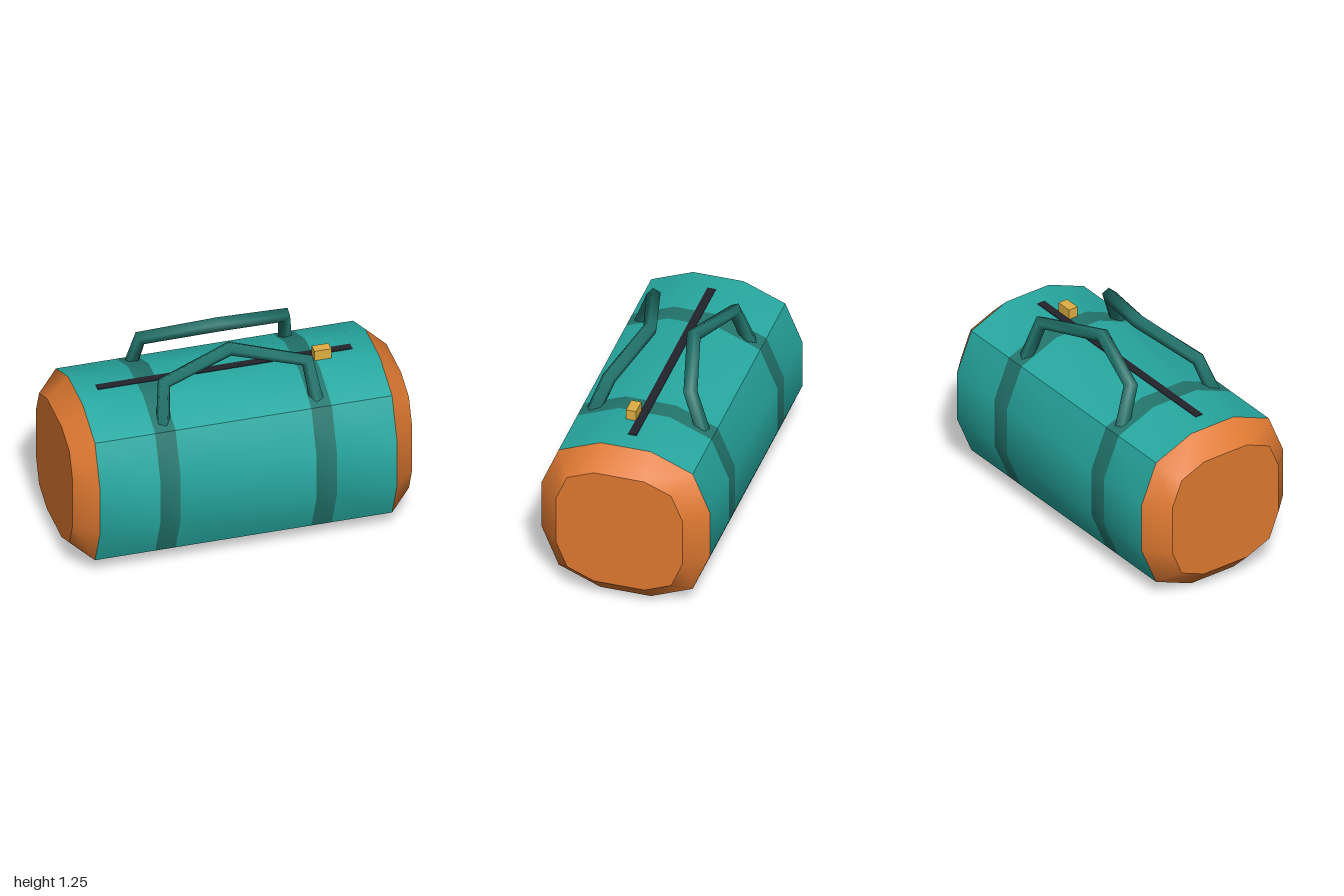
import * as THREE from 'three';
import { toCreasedNormals } from 'three/addons/utils/BufferGeometryUtils.js';

const material = (name, color) => {
  const m = new THREE.MeshStandardMaterial({ color });
  m.name = name;
  return m;
};

// Rounded square cross-section, three points on each corner
function section(x, half) {
  const points = [], core = 0.15, r = half - core;
  for (let k = 0; k < 4; k++) {
    const sy = k === 0 || k === 3 ? 1 : -1;
    const sz = k < 2 ? 1 : -1;
    for (let j = 0; j < 3; j++) {
      const a = (k + j / 2) * Math.PI / 2;
      points.push([x, 0.5 + sy * core + r * Math.cos(a), sz * core + r * Math.sin(a)]);
    }
  }
  return points;
}

// Skin between two cross-sections, optionally closed at the far end
function loft(x0, half0, x1, half1, closed = false) {
  const a = section(x0, half0), b = section(x1, half1), pos = [];
  for (let i = 0; i < a.length; i++) {
    const n = (i + 1) % a.length;
    pos.push(...a[i], ...a[n], ...b[n], ...a[i], ...b[n], ...b[i]);
    if (closed) pos.push(x1, 0.5, 0, ...b[i], ...b[n]);
  }
  const g = new THREE.BufferGeometry();
  g.setAttribute('position', new THREE.Float32BufferAttribute(pos, 3));
  return toCreasedNormals(g, THREE.MathUtils.degToRad(35));
}

export function createModel() {
  const bag = new THREE.Group();
  bag.name = 'duffelBag';
  const fabric = material('teal fabric', 0x27a9a1);
  const webbing = material('dark teal webbing', 0x23766e);
  const leather = material('orange end panel', 0xe07a32);
  const zip = material('dark zipper', 0x23232d);
  const brass = material('brass', 0xe0af43);

  const add = (name, geometry, mat, x = 0, y = 0, z = 0) => {
    const mesh = new THREE.Mesh(geometry, mat);
    mesh.name = name;
    mesh.position.set(x, y, z);
    bag.add(mesh);
    return mesh;
  };

  // Barrel, split where the straps wrap around it
  const cuts = [-0.875, -0.52, -0.4, 0.4, 0.52, 0.875];
  for (let i = 0; i < cuts.length - 1; i++) {
    const strap = i % 2 === 1;
    add(strap ? 'strap' : 'body', loft(cuts[i], 0.5, cuts[i + 1], 0.5), strap ? webbing : fabric);
  }

  // Bevelled end panels
  for (const turn of [0, Math.PI]) {
    add(turn ? 'rightEnd' : 'leftEnd', loft(0.875, 0.5, 1, 0.375, true), leather).rotation.y = turn;
  }

  // Carrying handles leaning towards each other
  for (const side of [1, -1]) {
    const path = new THREE.CatmullRomCurve3([
      [-0.46, 0.85, 0.342], [-0.422, 1.125, 0.24], [0, 1.21, 0.127],
      [0.422, 1.125, 0.24], [0.46, 0.85, 0.342],
    ].map(([x, y, z]) => new THREE.Vector3(x, y, side * z)));
    path.getUtoTmapping = (u) => u; // one ring at each path point
    add(side > 0 ? 'frontHandle' : 'backHandle', new THREE.TubeGeometry(path, 4, 0.043, 5), webbing);
  }

  // Zipper and its pull
  add('zipper', new THREE.BoxGeometry(1.5, 0.008, 0.05), zip, 0, 1, 0);
  add('zipperPull', new THREE.BoxGeometry(0.1, 0.07, 0.06), brass, 0.56, 1.028, 0.051);

  return bag;
}
